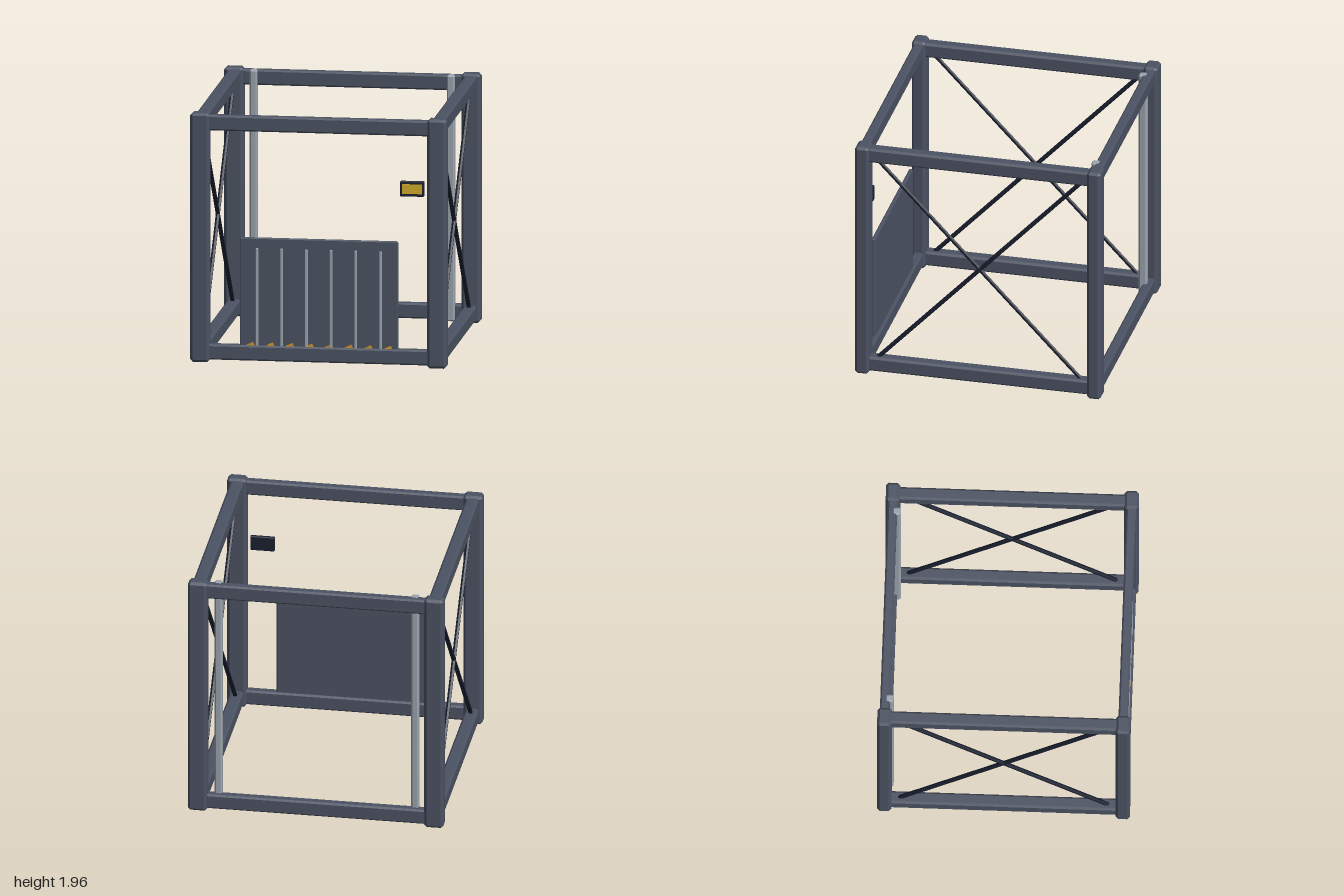
import * as THREE from 'three';
import { ConvexGeometry } from 'three/addons/geometries/ConvexGeometry.js';

const mat = (color) => new THREE.MeshStandardMaterial({ color, flatShading: true });
const steel = mat(0x4b5262);
const dark = mat(0x1a2030);
const rail = mat(0x9aa3ad);
const yellow = mat(0xd4ac2c);
const orange = mat(0xd6962c);

// Box with every edge chamfered by c
function chamferBox(w, h, d, c) {
  const points = [];
  for (const sx of [-1, 1]) for (const sy of [-1, 1]) for (const sz of [-1, 1]) {
    const [x, y, z] = [w / 2, h / 2, d / 2];
    points.push(
      new THREE.Vector3(sx * x, sy * (y - c), sz * (z - c)),
      new THREE.Vector3(sx * (x - c), sy * y, sz * (z - c)),
      new THREE.Vector3(sx * (x - c), sy * (y - c), sz * z));
  }
  return new ConvexGeometry(points);
}

export function createModel() {
  const model = new THREE.Group();
  model.name = 'gatedFrame';

  const add = (name, geometry, material, x, y, z, parent = model) => {
    const mesh = new THREE.Mesh(geometry, material);
    mesh.name = name;
    mesh.position.set(x, y, z);
    parent.add(mesh);
    return mesh;
  };

  const midY = 0.982, px = 0.925, pz = 0.922;

  // Corner posts
  const postGeo = chamferBox(0.15, 1.96, 0.11, 0.02);
  for (const sx of [-1, 1]) for (const sz of [-1, 1])
    add('cornerPost', postGeo, steel, sx * px, midY, sz * pz);

  // Top and bottom beams
  const crossBeam = chamferBox(1.8, 0.12, 0.075, 0.013);
  const sideBeam = chamferBox(0.1, 0.12, 1.8, 0.016);
  for (const y of [0.082, 1.886]) for (const s of [-1, 1]) {
    add('crossBeam', crossBeam, steel, 0, y, s * pz);
    add('sideBeam', sideBeam, steel, s * 0.922, y, 0);
  }

  // Diagonal braces on both sides
  const rise = 1.8, run = 1.705;
  const braceGeo = new THREE.CylinderGeometry(0.017, 0.017, Math.hypot(rise, run), 6);
  for (const sx of [-1, 1]) for (const tilt of [-1, 1])
    add('diagonalBrace', braceGeo, dark, sx * 0.922, midY, 0)
      .rotation.x = tilt * Math.atan2(run, rise);

  // Vertical guide rails in front of the rear beams
  const railGeo = chamferBox(0.06, 1.938, 0.065, 0.012);
  for (const sx of [-1, 1]) add('guideRail', railGeo, rail, sx * 0.77, midY, -0.888);

  // Front gate with ribs and warning marks along its foot
  const gate = new THREE.Group();
  gate.name = 'frontGate';
  model.add(gate);
  add('gatePanel', chamferBox(1.235, 0.9, 0.03, 0.008), steel, 0, 0.537, 0.92, gate);
  const ribGeo = chamferBox(0.022, 0.8, 0.016, 0.004);
  for (let i = 0; i < 6; i++)
    add('gateRib', ribGeo, rail, (i - 2.5) * 0.193, 0.508, 0.94, gate);
  const markGeo = new THREE.BoxGeometry(0.09, 0.04, 0.012);
  for (let i = 0; i < 8; i++)
    add('warningMark', markGeo, orange, (i - 3.5) * 0.1535 - 0.008, 0.13, 0.938, gate)
      .rotation.z = 0.45;

  // Control display beside the right-hand end of the opening
  const display = new THREE.Group();
  display.name = 'controlDisplay';
  model.add(display);
  add('displayCase', chamferBox(0.19, 0.12, 0.03, 0.006), dark, 0.728, 1.405, 0.92, display);
  add('displayScreen', new THREE.BoxGeometry(0.156, 0.076, 0.012), yellow, 0.728, 1.405, 0.934, display);

  return model;
}
